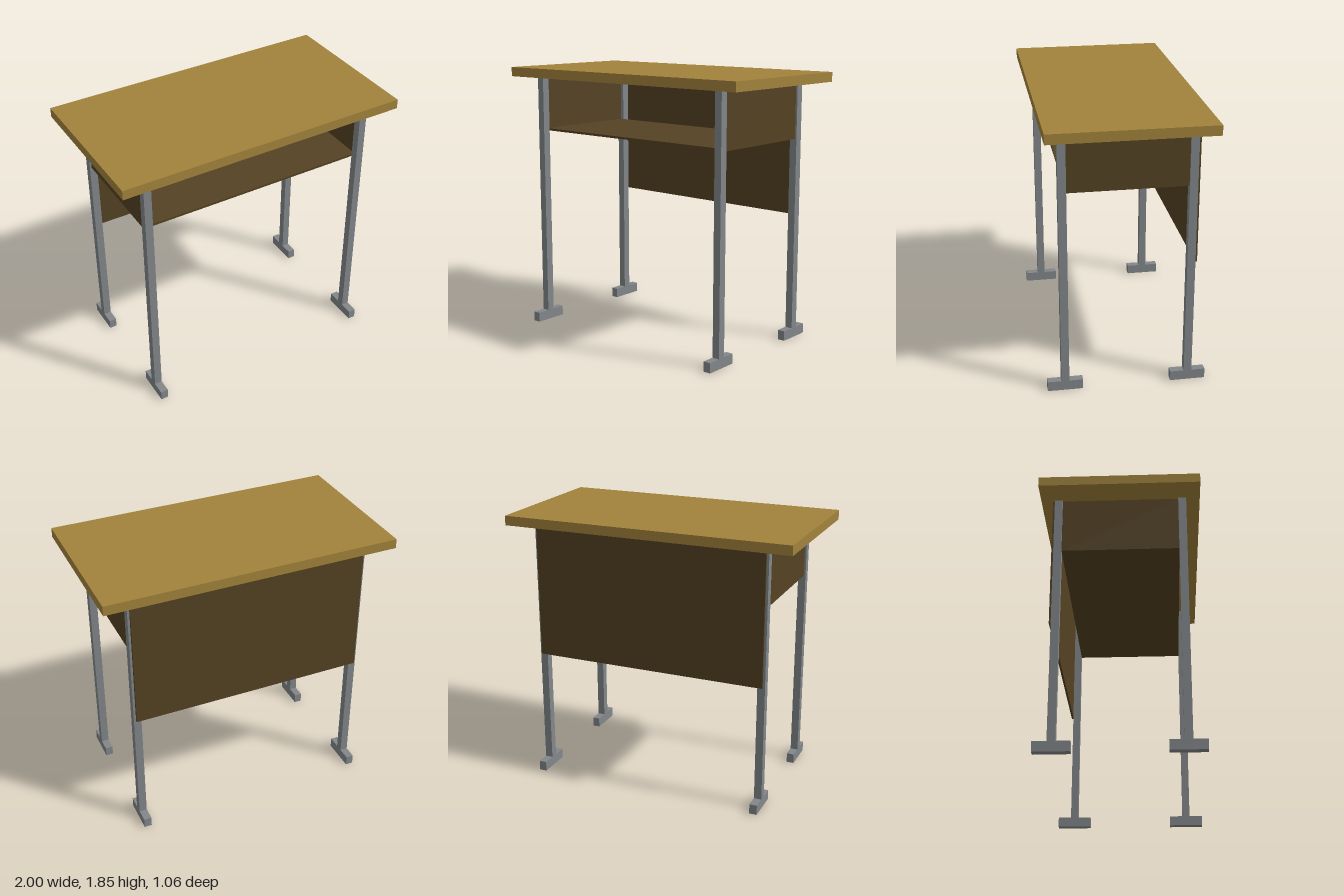
import * as THREE from 'three';

export function createModel() {
  const group = new THREE.Group();
  const material = (name, color) => {
    const m = new THREE.MeshStandardMaterial({ color });
    m.name = name;
    return m;
  };
  const wood = material('light wood', 0xa2833b);
  const panel = material('dark wood', 0x544223);
  const metal = material('grey metal', 0x83878a);

  // Box given by its minimum and maximum on each axis
  const box = (name, mat, [x0, x1], [y0, y1], [z0, z1]) => {
    const mesh = new THREE.Mesh(new THREE.BoxGeometry(x1 - x0, y1 - y0, z1 - z0), mat);
    mesh.position.set((x0 + x1) / 2, (y0 + y1) / 2, (z0 + z1) / 2);
    mesh.name = name;
    group.add(mesh);
  };
  const around = (c, size) => [c - size / 2, c + size / 2];

  const under = 1.785; // underside of the top
  box('tableTop', wood, [-1, 1], [under, 1.85], [-0.53, 0.53]);

  // Four legs, each on a long foot
  for (const sx of [-1, 1]) {
    const side = sx > 0 ? 'Left' : 'Right';
    for (const sz of [-1, 1]) {
      const end = (sz > 0 ? 'front' : 'back') + side;
      const x = around(sx * 0.799, 0.052);
      box(end + 'Leg', metal, x, [0.068, under], around(sz * 0.4125, 0.053));
      box(end + 'Foot', metal, x, [0, 0.068], around(sz * 0.4125, 0.235));
    }
    // Side panel between the legs
    box('sidePanel' + side, panel, around(sx * 0.805, 0.015), [1.4, under], [-0.386, 0.386]);
  }

  // Storage shelf and modesty panel
  box('shelf', panel, [-0.7975, 0.7975], [1.4, 1.415], [-0.386, 0.386]);
  box('backPanel', panel, [-0.81, 0.81], [0.87, under], [-0.453, -0.439]);

  return group;
}
